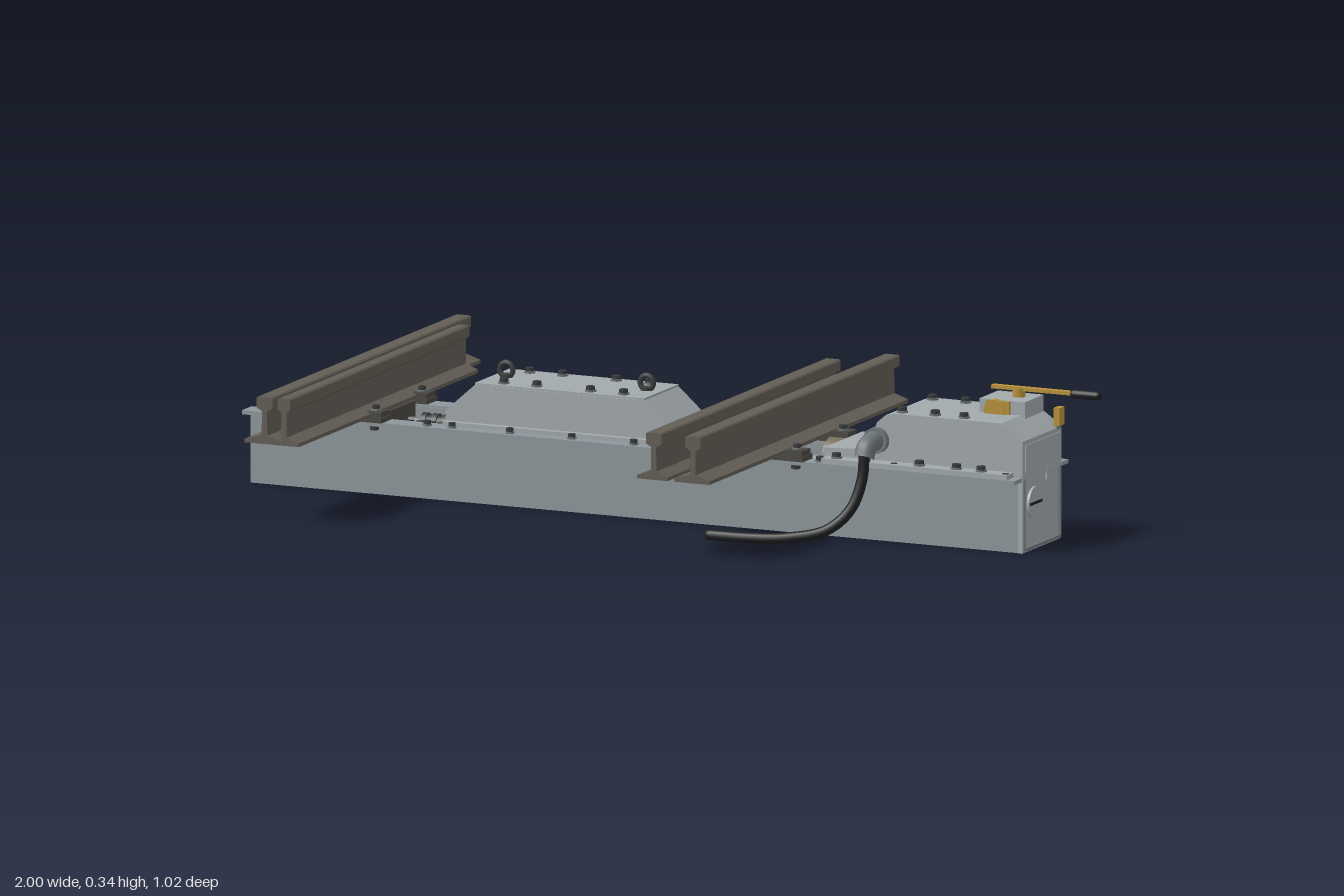
import * as THREE from 'three';

const mat = (color) => new THREE.MeshStandardMaterial({ color });
const M = {
  body: mat(0x8d969b), cover: mat(0xa2a9ac), steel: mat(0x70777a), rail: mat(0x625d55),
  dark: mat(0x3a3b3c), black: mat(0x1e1f20), gold: mat(0xb8923a), plate: mat(0x4a4742), bronze: mat(0x77705c),
};

export function createModel() {
  const root = new THREE.Group();
  let target = root;
  const add = (name, geo, m, x = 0, y = 0, z = 0) => {
    const mesh = new THREE.Mesh(geo, m);
    mesh.name = name;
    mesh.position.set(x, y, z);
    target.add(mesh);
    return mesh;
  };
  const group = (name, build) => {
    const g = new THREE.Group();
    g.name = name;
    root.add(g);
    target = g;
    build();
    target = root;
  };
  // box given by its limits
  const box = (name, m, x0, x1, y0, y1, z0, z1) =>
    add(name, new THREE.BoxGeometry(x1 - x0, y1 - y0, z1 - z0), m, (x0 + x1) / 2, (y0 + y1) / 2, (z0 + z1) / 2);
  // cylinder along a chosen axis
  const cyl = (name, m, axis, r, len, x, y, z, seg = 20) => {
    const geo = new THREE.CylinderGeometry(r, r, len, seg);
    if (axis === 'x') geo.rotateZ(Math.PI / 2);
    if (axis === 'z') geo.rotateX(Math.PI / 2);
    return add(name, geo, m, x, y, z);
  };
  // closed outline extruded along z from z0 to z1
  const prism = (name, m, pts, z0, z1, x = 0, y = 0) => {
    const shape = new THREE.Shape(pts.map((p) => new THREE.Vector2(...p)));
    return add(name, new THREE.ExtrudeGeometry(shape, { depth: z1 - z0, bevelEnabled: false }), m, x, y, z0);
  };
  const bolt = (x, y, z, m = M.dark, r = 0.01) => {
    cyl('washer', M.steel, 'y', r * 1.25, 0.004, x, y + 0.002, z, 16);
    cyl('boltHead', m, 'y', r, 0.009, x, y + 0.0075, z, 6);
  };

  // open trough with bolting flanges
  group('trough', () => {
    box('floor', M.body, -0.99, 0.88, 0, 0.01, -0.095, 0.095);
    for (const s of [-1, 1]) {
      box('sideWall', M.body, -0.99, 0.88, 0, 0.165, s * 0.09 - 0.005, s * 0.09 + 0.005);
      box('flange', M.body, -0.99, 0.88, 0.16, 0.169, s * 0.113 - 0.025, s * 0.113 + 0.025);
      for (const x of [-0.93, -0.55, -0.49, -0.35, -0.2, -0.05, 0.1, 0.4, 0.58, 0.85]) bolt(x, 0.169, s * 0.12, M.dark, 0.008);
    }
    box('leftEndWall', M.body, -0.99, -0.98, 0, 0.165, -0.095, 0.095);
    box('rightEndWall', M.cover, 0.87, 0.88, 0, 0.245, -0.098, 0.098);
    cyl('leftEndPlug', M.dark, 'x', 0.014, 0.012, -0.994, 0.1, 0);
  });

  // right end face: border, panel and slotted cap
  group('endFace', () => {
    for (const s of [-1, 1]) box('sideBorder', M.steel, 0.88, 0.884, 0.005, 0.165, s * 0.092 - 0.003, s * 0.092 + 0.003);
    box('bottomBorder', M.steel, 0.88, 0.884, 0.004, 0.01, -0.092, 0.092);
    box('upperPanel', M.cover, 0.88, 0.884, 0.18, 0.24, -0.088, 0.088);
    box('namePlate', M.cover, 0.88, 0.883, 0.145, 0.172, -0.057, -0.022);
    cyl('cap', M.cover, 'x', 0.036, 0.008, 0.882, 0.105, 0.04, 32);
    box('capSlot', M.black, 0.884, 0.887, 0.102, 0.108, 0.01, 0.07);
  });

  // central trapezoid cover
  group('middleCover', () => {
    prism('coverBody', M.cover, [[-0.52, 0.16], [0.03, 0.16], [0.03, 0.2], [-0.04, 0.262], [-0.45, 0.262], [-0.52, 0.2]], -0.09, 0.09);
    box('topPlate', M.cover, -0.45, -0.04, 0.262, 0.267, -0.088, 0.088);
    for (const s of [-1, 1]) {
      box('coverFoot', M.cover, -0.52, 0.03, 0.169, 0.178, s * 0.097 - 0.008, s * 0.097 + 0.008);
      for (const x of [-0.39, -0.31, -0.18, -0.1]) bolt(x, 0.267, s * 0.066);
    }
    for (const x of [-0.415, -0.075]) {
      cyl('eyeCollar', M.dark, 'y', 0.014, 0.008, x, 0.27, 0);
      add('eyeRing', new THREE.TorusGeometry(0.016, 0.006, 10, 24), M.dark, x, 0.284, 0);
    }
  });

  // motor housing at the right end
  group('motorCover', () => {
    prism('housing', M.cover, [[0.4, 0.16], [0.4, 0.197], [0.47, 0.2], [0.51, 0.222], [0.53, 0.265], [0.55, 0.282],
      [0.57, 0.287], [0.83, 0.287], [0.882, 0.25], [0.882, 0.16]], -0.1, 0.1);
    for (const s of [-1, 1]) {
      box('housingFoot', M.cover, 0.41, 0.86, 0.169, 0.18, s * 0.113 - 0.022, s * 0.113 + 0.022);
      for (const x of [0.44, 0.51, 0.64, 0.73, 0.79]) bolt(x, 0.18, s * 0.118);
      for (const x of [0.58, 0.66, 0.73]) bolt(x, 0.287, s * 0.078);
    }
    box('seam', M.steel, 0.506, 0.514, 0.17, 0.226, -0.103, 0.103);
    cyl('shaftCoupling', M.bronze, 'x', 0.042, 0.045, 0.385, 0.155, -0.01, 28);
    cyl('shaft', M.steel, 'x', 0.022, 0.2, 0.29, 0.14, -0.01);
  });

  // hand lever with its lock box
  group('handLever', () => {
    box('lockBox', M.cover, 0.73, 0.84, 0.26, 0.317, -0.097, 0);
    cyl('lockBarrel', M.gold, 'z', 0.025, 0.014, 0.77, 0.294, 0.004, 24);
    box('lockTab', M.gold, 0.75, 0.805, 0.28, 0.316, -0.004, 0.008);
    cyl('pivot', M.gold, 'y', 0.014, 0.024, 0.8, 0.325, -0.055);
    box('leverBar', M.gold, 0.735, 0.93, 0.331, 0.339, -0.064, -0.048);
    const grip = new THREE.CapsuleGeometry(0.01, 0.056, 6, 16);
    grip.rotateZ(Math.PI / 2);
    add('grip', grip, M.black, 0.962, 0.334, -0.055);
    box('padlock', M.gold, 0.876, 0.89, 0.255, 0.295, -0.097, -0.072);
    box('padlockHasp', M.steel, 0.85, 0.884, 0.247, 0.257, -0.095, -0.075);
  });

  // cable outlet and hose
  group('cable', () => {
    const v = (a) => new THREE.Vector3(...a);
    const tube = (name, m, r, pts) => add(name, new THREE.TubeGeometry(new THREE.CatmullRomCurve3(pts.map(v)), 48, r, 14), m);
    tube('elbow', M.steel, 0.022, [[0.53, 0.225, 0.095], [0.53, 0.225, 0.13], [0.53, 0.219, 0.155], [0.53, 0.195, 0.168]]);
    cyl('outletCollar', M.steel, 'z', 0.029, 0.014, 0.53, 0.225, 0.107);
    tube('hose', M.black, 0.012, [[0.53, 0.205, 0.167], [0.528, 0.15, 0.174], [0.51, 0.085, 0.195], [0.465, 0.04, 0.222],
      [0.38, 0.02, 0.246], [0.3, 0.015, 0.256], [0.2, 0.014, 0.26]]);
    add('hoseTip', new THREE.SphereGeometry(0.012, 14, 10), M.black, 0.2, 0.014, 0.26);
  });

  // rail section: left and right foot reach may differ for the planed blades
  const rail = (name, x, footL, footR, z0, headL = 0.019, headR = 0.019) => prism(name, M.rail, [
    [-footL, 0], [footR, 0], [footR, 0.008], [0.007, 0.019], [0.006, 0.073], [headR, 0.08], [headR, 0.102], [headR - 0.004, 0.105],
    [-headL + 0.004, 0.105], [-headL, 0.102], [-headL, 0.08], [-0.006, 0.073], [-0.007, 0.019], [-footL, 0.008],
  ], z0, 0.51, x, 0.18);
  group('rails', () => {
    rail('leftStockRail', -0.76, 0.048, 0.042, -0.51);
    rail('leftSwitchRail', -0.713, 0.006, 0.036, -0.41, 0.015, 0.015);
    rail('rightSwitchRail', 0.182, 0.04, 0.034, -0.41);
    rail('rightStockRail', 0.277, 0.045, 0.04, -0.51);
  });

  // seats, clamps and bolts holding the rails
  group('railSeats', () => {
    for (const [x0, x1] of [[-0.86, -0.65], [0.1, 0.37]]) {
      for (const s of [-1, 1]) {
        box('seatPlate', M.plate, x0, x1, 0.169, 0.18, s * 0.118 - 0.026, s * 0.118 + 0.026);
        for (const x of [x0 + 0.025, x1 - 0.025]) {
          box('clamp', M.plate, x - 0.022, x + 0.022, 0.18, 0.192, s * 0.118 - 0.022, s * 0.118 + 0.022);
          bolt(x, 0.192, s * 0.118, M.dark, 0.009);
          cyl('lowerNut', M.dark, 'y', 0.01, 0.012, x, 0.156, s * 0.126, 6);
        }
      }
    }
  });

  // push rods, spring stacks and brackets inside the trough
  group('mechanism', () => {
    for (const z of [-0.043, 0.043]) {
      cyl('pushRod', M.steel, 'x', 0.01, 0.95, -0.24, 0.14, z);
      for (const [x0, n] of [[-0.63, 9], [0.045, 5]]) {
        for (let i = 0; i < n; i++) cyl('springDisc', M.dark, 'x', i % 2 ? 0.018 : 0.022, 0.013, x0 + i * 0.013, 0.14, z);
      }
    }
    cyl('centreRod', M.cover, 'x', 0.014, 0.28, 0.16, 0.14, 0);
    for (const x of [-0.7, 0.19]) {
      box('railBracket', M.plate, x - 0.03, x + 0.03, 0.11, 0.18, -0.075, 0.075);
    }
    box('bearingBlock', M.steel, -0.53, -0.51, 0.01, 0.165, -0.085, 0.085);
    box('bearingBlock', M.steel, 0.02, 0.04, 0.01, 0.165, -0.085, 0.085);
  });

  return root;
}
